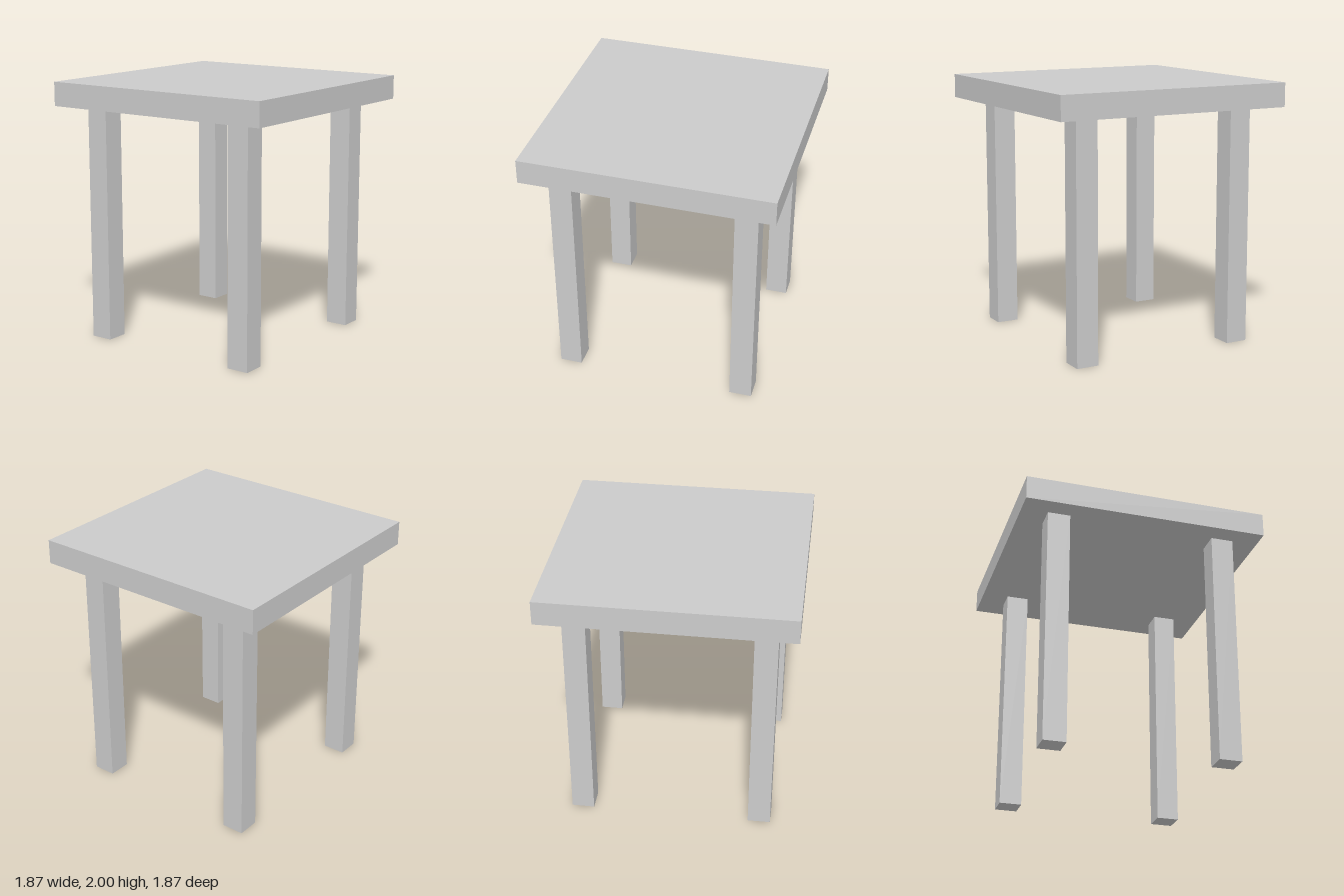
import * as THREE from 'three';

export function createModel() {
  const group = new THREE.Group();
  const material = new THREE.MeshStandardMaterial({ color: 0xcccccc, flatShading: true });

  const topSize = 1.868, topThickness = 0.184, height = 2;
  const legHeight = height - topThickness, legWidth = 0.172;

  const addBox = (name, w, h, d, x, y, z) => {
    const mesh = new THREE.Mesh(new THREE.BoxGeometry(w, h, d), material);
    mesh.name = name;
    mesh.position.set(x, y, z);
    group.add(mesh);
  };

  // Square slab top
  addBox('tableTop', topSize, topThickness, topSize, 0, height - topThickness / 2, 0);

  // Four square legs, set in from the edges
  for (const [side, x] of [['Left', 0.65], ['Right', -0.647]]) {
    for (const [end, z] of [['front', 0.697], ['back', -0.687]]) {
      addBox(`${end}${side}Leg`, legWidth, legHeight, legWidth, x, legHeight / 2, z);
    }
  }
  return group;
}
